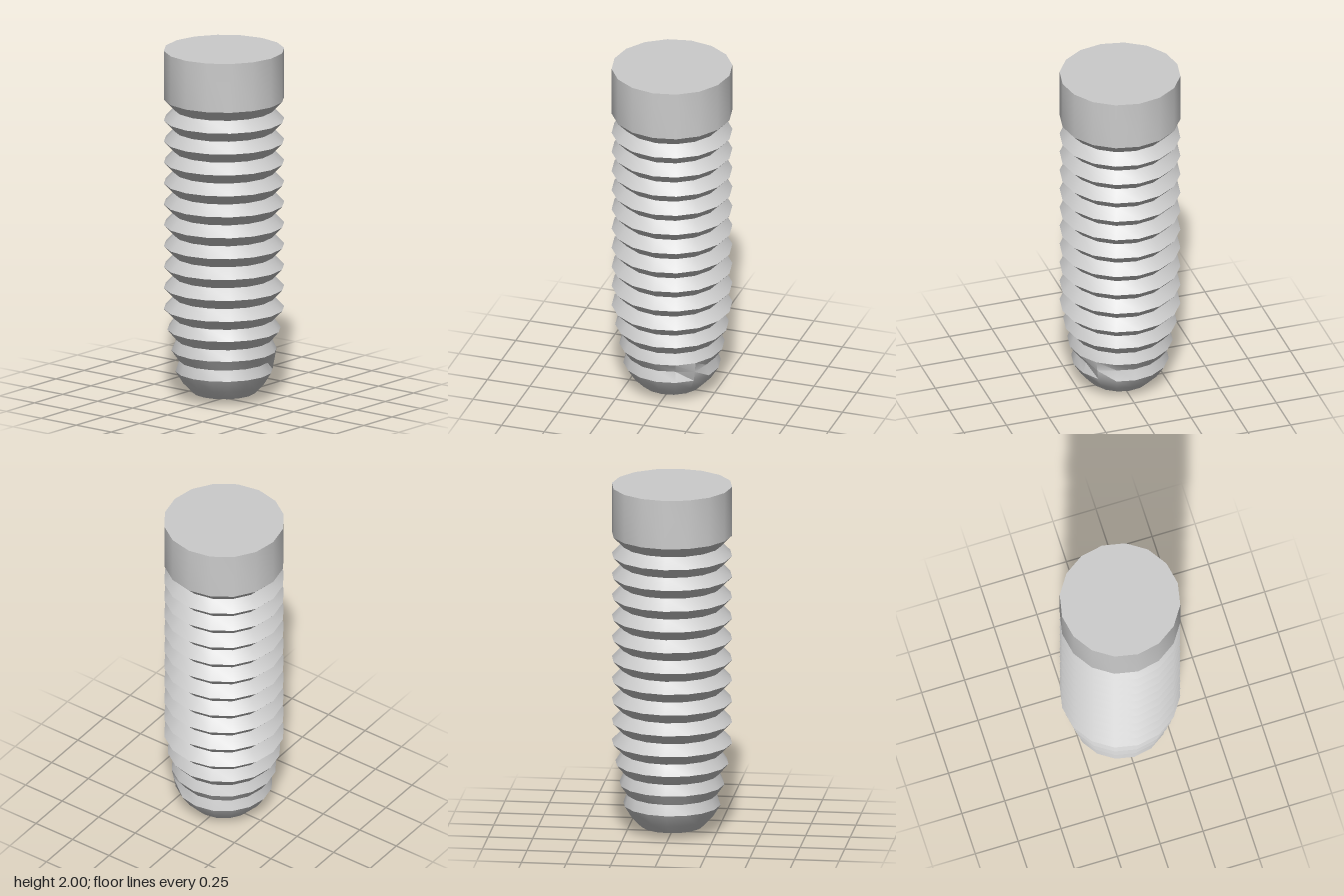
import * as THREE from 'three';
import { toCreasedNormals } from 'three/addons/utils/BufferGeometryUtils.js';

const SIDES = 16;
const R = 0.337;       // head and thread crest radius
const ROOT = 0.28;     // thread root radius
const PITCH = 0.12;

export function createModel() {
  const group = new THREE.Group();
  group.name = 'threadedStud';

  // rounded, shallowly pointed tip
  const points = [[0, 0], [0.175, 0.036], [0.228, 0.09]];

  // ridged shank: the lowest crests and roots taper towards the tip
  const crests = [0.272, 0.294, 0.317];
  const roots = [0.252, 0.267, 0.278];
  for (let i = 0; i < 13; i++) {
    const y = 0.16 + i * PITCH;
    points.push([crests[i] ?? R, y], [roots[i] ?? ROOT, y + PITCH / 2]);
  }

  // plain cylindrical head with a flat top
  points.push([R, 1.72], [R, 2], [0, 2]);

  const lathe = new THREE.LatheGeometry(points.map(([r, y]) => new THREE.Vector2(r, y)), SIDES);

  // small filled spot in the lowest groove, at the back corner
  const groove = 4, column = 6;
  const angle = (column / SIDES) * Math.PI * 2;
  lathe.attributes.position.setXYZ(column * points.length + groove,
    0.283 * Math.sin(angle), 0.22, 0.283 * Math.cos(angle));

  // smooth around the axis, sharp at every ridge
  const stud = new THREE.Mesh(
    toCreasedNormals(lathe, THREE.MathUtils.degToRad(30)),
    new THREE.MeshStandardMaterial({ color: 0xcccccc })
  );
  stud.name = 'stud';
  group.add(stud);
  return group;
}
